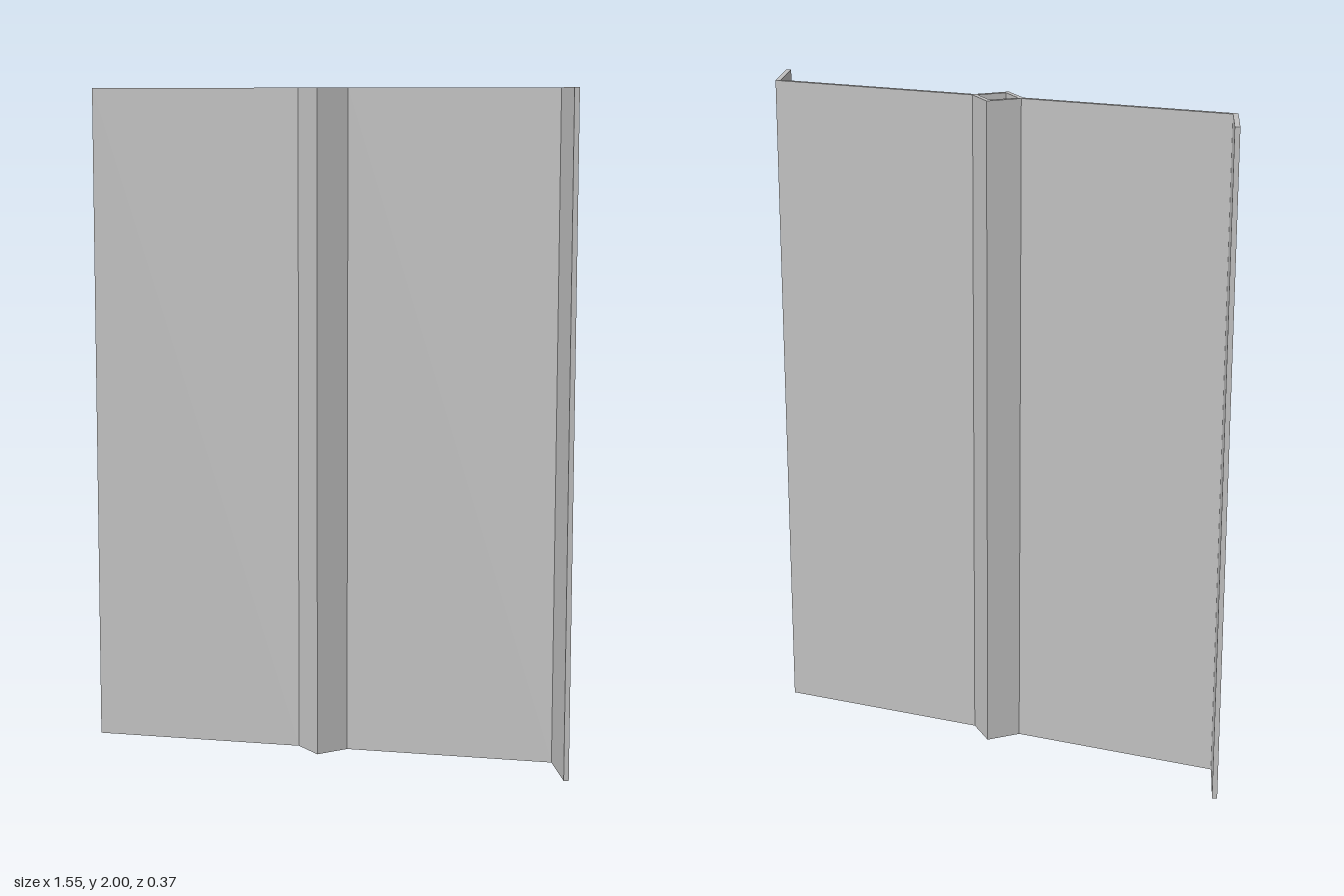
import * as THREE from 'three';

const HEIGHT = 2;
const HALF = 0.0075; // half the sheet thickness
const TUBE = 0.083; // centre to outer corner of the square tube

// Upright prism from a plan outline given as [x, z] points
function upright(name, outline, material, hole) {
  const toPoints = (list) => list.map(([x, z]) => new THREE.Vector2(x, z));
  const shape = new THREE.Shape(toPoints(outline));
  if (hole) shape.holes.push(new THREE.Path(toPoints(hole)));
  const geometry = new THREE.ExtrudeGeometry(shape, { depth: HEIGHT, bevelEnabled: false });
  geometry.rotateX(Math.PI / 2).translate(0, HEIGHT, 0);
  const mesh = new THREE.Mesh(geometry, material);
  mesh.name = name;
  return mesh;
}

const diamond = (r) => [[r, 0], [0, r], [-r, 0], [0, -r]];

export function createModel() {
  const model = new THREE.Group();
  model.name = 'bracedPanel';
  const steel = new THREE.MeshStandardMaterial({ color: 0xc0c0c0 });
  steel.name = 'plain steel';

  // Hollow square tube standing on its corner in plan
  model.add(upright('centreTube', diamond(TUBE), steel, diamond(TUBE - HALF * 2 * Math.SQRT2)));

  // Sheet wing with a slanted lip, mitred at the bend
  const bend = 0.708;
  const tip = [0.768, 0.181];
  const angle = Math.atan2(tip[1], tip[0] - bend);
  const miter = HALF * Math.tan(angle / 2);
  const nx = Math.sin(angle) * HALF;
  const nz = Math.cos(angle) * HALF;
  const wing = [
    [TUBE - HALF, -HALF], [bend + miter, -HALF],
    [tip[0] + nx, tip[1] - nz], [tip[0] - nx, tip[1] + nz],
    [bend - miter, HALF], [TUBE - HALF, HALF],
  ];

  // The second wing is the first turned half way round
  model.add(upright('leftWing', wing, steel));
  model.add(upright('rightWing', wing.map(([x, z]) => [-x, -z]), steel));
  return model;
}
